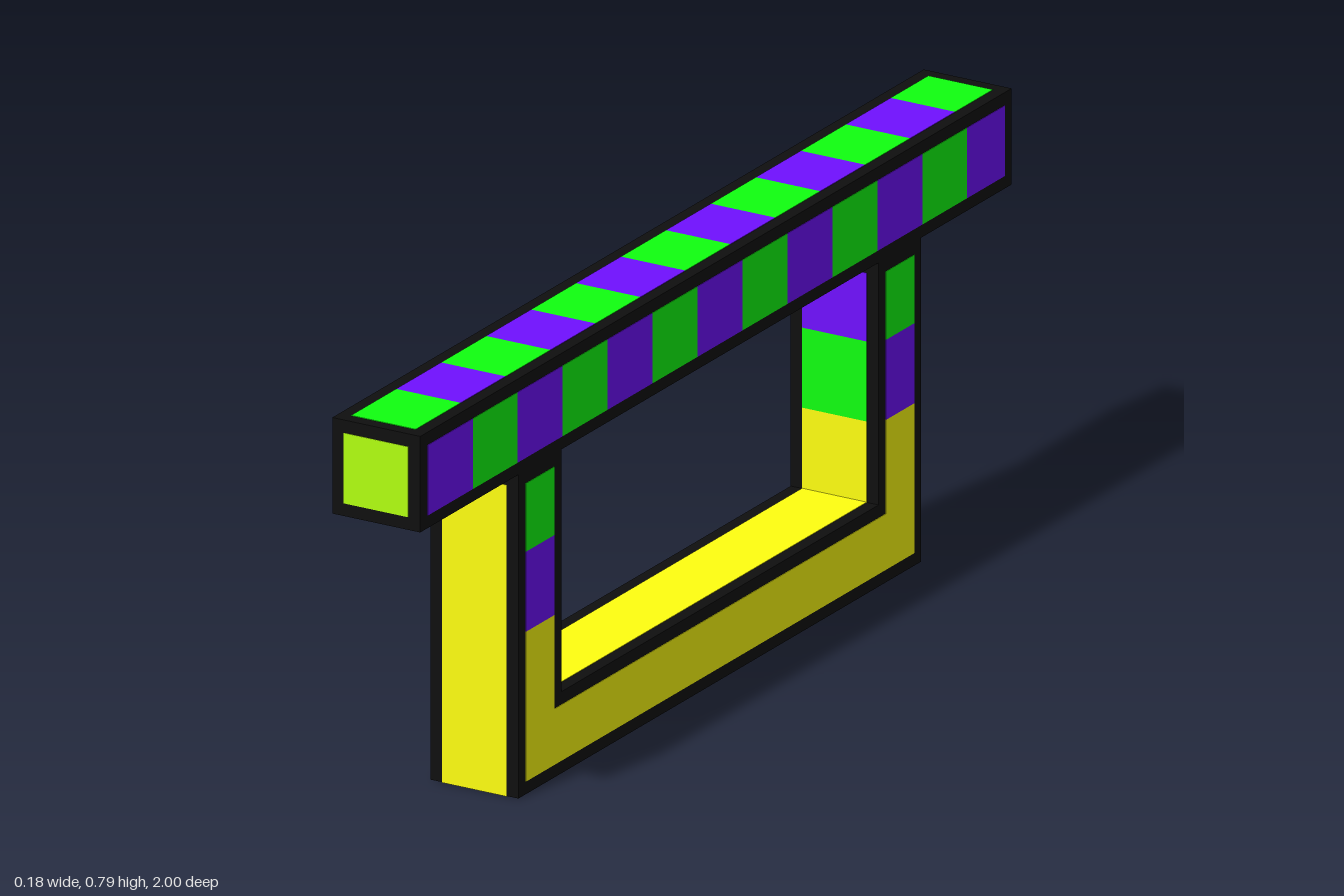
import * as THREE from 'three';

const mat = (color) => new THREE.MeshStandardMaterial({ color });
const BLACK = mat(0x0f0f0f), YELLOW = mat(0xffff10), GREEN = mat(0x10ff10);
const PURPLE = mat(0x7010ff), LIME = mat(0xb2ff10);

const W = 0.09;        // half width of all members
const E = 0.024;       // width of the dark edging
const P = W - E;       // half width of the inlaid panels
const L = 0.001;       // how far panels stand proud
const TOP = 0.787, UNDER = 0.607, BAR = 0.153;
const LEGS = [
  { name: 'front', outer: 0.668, inner: 0.523, out: 1 },
  { name: 'back', outer: -0.694, inner: -0.55, out: -1 },
];

// Box given by its limits along each axis
function span(parent, name, material, [x0, x1], [y0, y1], [z0, z1]) {
  const g = new THREE.BoxGeometry(Math.abs(x1 - x0), Math.abs(y1 - y0), Math.abs(z1 - z0));
  const m = new THREE.Mesh(g, material);
  m.name = name;
  m.position.set((x0 + x1) / 2, (y0 + y1) / 2, (z0 + z1) / 2);
  parent.add(m);
}

// Thin inlay range around a surface coordinate
const skin = (v) => [v - L, v + L];

export function createModel() {
  const model = new THREE.Group();
  model.name = 'stripedBeamOnFrame';

  // Beam with striped top and sides
  const beam = new THREE.Group();
  beam.name = 'beam';
  span(beam, 'beamCore', BLACK, [-W, W], [UNDER, TOP], [-1, 1]);
  const end = 1 - E, pitch = 0.152;
  for (let i = 0; i < 13; i++) {
    const z = [
      i === 0 ? end : 0.824 - pitch * (i - 1),
      i === 12 ? -end : 0.824 - pitch * i,
    ];
    const even = i % 2 === 0;
    span(beam, 'topStripe', even ? GREEN : PURPLE, [-P, P], skin(TOP), z);
    for (const s of [-1, 1]) {
      span(beam, 'sideStripe', even ? PURPLE : GREEN, skin(s * W), [UNDER + E, TOP - E], z);
    }
  }
  for (const s of [-1, 1]) {
    span(beam, 'endPanel', LIME, [-P, P], [UNDER + E, TOP - E], skin(s));
  }
  span(beam, 'undersidePanel', YELLOW, [-P, P], skin(UNDER), [-end, end]);
  model.add(beam);

  // Legs with coloured bands
  for (const { name, outer, inner, out } of LEGS) {
    const leg = new THREE.Group();
    leg.name = name + 'Leg';
    span(leg, 'legCore', BLACK, [-W, W], [0, UNDER], [inner, outer]);
    span(leg, 'outerPanel', YELLOW, [-P, P], [0, UNDER - E], skin(outer));
    const bands = [
      [BAR, 0.305, YELLOW, YELLOW],
      [0.305, 0.455, GREEN, PURPLE],
      [0.455, UNDER - E, PURPLE, GREEN],
    ];
    for (const [y0, y1, innerColor, sideColor] of bands) {
      span(leg, 'innerBand', innerColor, [-P, P], [y0, y1], skin(inner));
      const low = y0 === BAR ? BAR - E : y0;
      for (const s of [-1, 1]) {
        span(leg, 'sideBand', sideColor, skin(s * W), [low, y1], [inner + out * E, outer - out * E]);
      }
    }
    model.add(leg);
  }

  // Bottom bar joining the legs
  const bar = new THREE.Group();
  bar.name = 'bottomBar';
  const [f, b] = LEGS;
  span(bar, 'barCore', BLACK, [-W, W], [0, BAR], [b.inner, f.inner]);
  span(bar, 'barTopPanel', YELLOW, [-P, P], skin(BAR), [b.inner, f.inner]);
  span(bar, 'barUndersidePanel', YELLOW, [-P, P], [0 - L, L], [b.outer, f.outer]);
  for (const s of [-1, 1]) {
    span(bar, 'barSidePanel', YELLOW, skin(s * W), [E, BAR - E], [b.outer + E, f.outer - E]);
  }
  model.add(bar);

  return model;
}
